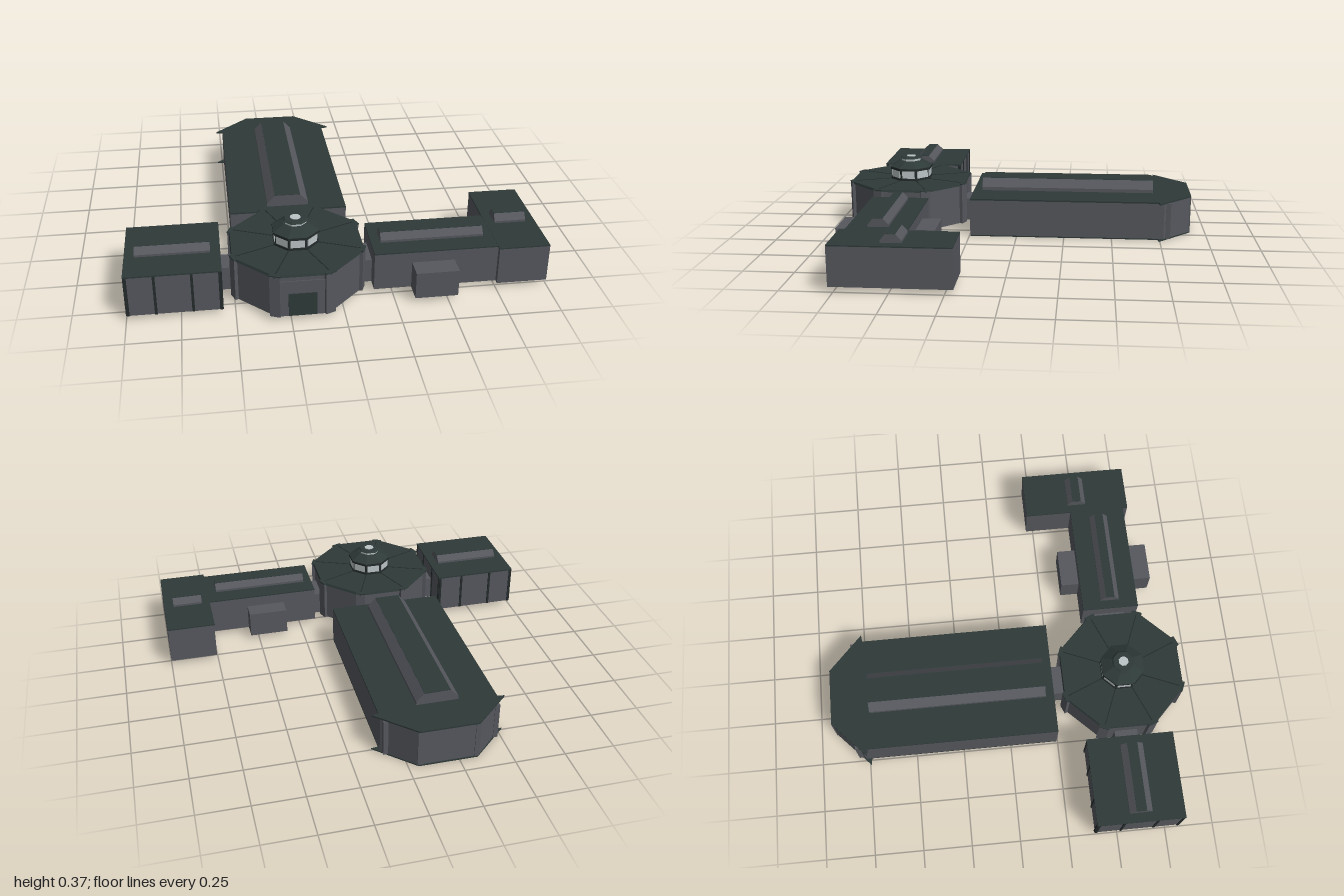
import * as THREE from 'three';

const mat = (name, color) => {
  const m = new THREE.MeshStandardMaterial({ color });
  m.name = name;
  return m;
};

export function createModel() {
  const wall = mat('wall grey', 0x55575d);
  const roof = mat('roof green', 0x2e3a38);
  const trim = mat('dark trim', 0x242a2b);
  const glass = mat('pale glass', 0xbcc4c6);
  const model = new THREE.Group();
  model.name = 'buildingComplex';

  const add = (name, geo, material, parent = model) => {
    const mesh = new THREE.Mesh(geo, material);
    mesh.name = name;
    parent.add(mesh);
    return mesh;
  };
  const group = (name, x = 0, z = 0) => {
    const g = new THREE.Group();
    g.name = name;
    g.position.set(x, 0, z);
    model.add(g);
    return g;
  };
  // Upright prism from an [x, z] outline; caps take the first material
  const prism = (name, outline, y0, y1, mats, parent) => {
    const shape = new THREE.Shape(outline.map(([x, z]) => new THREE.Vector2(x, -z)));
    const geo = new THREE.ExtrudeGeometry(shape, { depth: y1 - y0, bevelEnabled: false });
    geo.rotateX(-Math.PI / 2).translate(0, y0, 0);
    return add(name, geo, mats, parent);
  };
  const block = (name, x0, x1, y0, y1, z0, z1, mats, parent) =>
    prism(name, [[x0, z0], [x1, z0], [x1, z1], [x0, z1]], y0, y1, mats, parent);
  // Trapezoid roof ridge running along z: green flat top, grey slopes and ends
  const ridge = (name, length, width, top, height) => {
    const w = width / 2, t = top / 2;
    const shape = new THREE.Shape([[-w, 0], [w, 0], [w, height * 0.3], [t, height], [-t, height], [-w, height * 0.3]]
      .map(p => new THREE.Vector2(...p)));
    const geo = new THREE.ExtrudeGeometry(shape, { depth: length, bevelEnabled: false });
    geo.translate(0, 0, -length / 2);
    const g = group(name);
    add('ridgeBody', geo, wall, g);
    const plate = add('ridgeTop', new THREE.BoxGeometry(top, 0.003, length), roof, g);
    plate.position.y = height;
    return g;
  };
  // Eight-sided drum with flat faces towards the axes; radii are to the flats
  const drum = (name, rTop, rBottom, y0, y1, mats, parent) => {
    const k = 1 / Math.cos(Math.PI / 8);
    const base = new THREE.CylinderGeometry(rTop * k, rBottom * k, y1 - y0, 8, 1, false, Math.PI / 8);
    const geo = base.toNonIndexed();
    geo.computeVertexNormals();
    geo.translate(0, (y0 + y1) / 2, 0);
    return add(name, geo, mats, parent);
  };

  // Long hall with a chamfered back end and overhanging corner points
  const hall = group('longHall', -0.195, 0);
  prism('hallWalls', [[-0.295, 0.245], [0.295, 0.245], [0.295, -0.77], [0.15, -0.915], [-0.15, -0.915], [-0.295, -0.77]],
    0.005, 0.195, [roof, wall], hall);
  const eaves = [[-0.295, 0.245], [0.295, 0.245], [0.295, -0.74], [0.33, -0.745], [0.145, -0.92],
    [-0.145, -0.92], [-0.33, -0.745], [-0.295, -0.74]];
  prism('hallFloor', eaves, 0, 0.006, roof, hall);
  prism('hallRoof', eaves, 0.195, 0.203, roof, hall);
  for (const s of [-1, 1]) {
    block('hallCornerPost', s * 0.275 - 0.012, s * 0.275 + 0.012, 0.005, 0.195, -0.805, -0.78, wall, hall);
    block('hallBackPost', s * 0.14 - 0.012, s * 0.14 + 0.012, 0.005, 0.195, -0.919, -0.9, wall, hall);
  }
  ridge('hallRidge', 0.92, 0.21, 0.13, 0.06).position.set(-0.195, 0.203, -0.26);

  // Central octagonal hall
  const hub = group('octagonHall', -0.197, 0.605);
  drum('octagonWalls', 0.304, 0.304, 0.025, 0.236, [wall, roof, roof], hub);
  drum('octagonRoof', 0.308, 0.312, 0.234, 0.246, roof, hub);
  for (let i = 0; i < 8; i++) {
    const a = (i + 0.5) * Math.PI / 4;
    const pier = add('cornerPier', new THREE.BoxGeometry(0.05, 0.217, 0.03), wall, hub);
    pier.position.set(Math.sin(a) * 0.32, 0.1335, Math.cos(a) * 0.32);
    pier.rotation.y = a;
    const cap = add('pierCap', new THREE.BoxGeometry(0.054, 0.006, 0.034), roof, hub);
    cap.position.set(Math.sin(a) * 0.32, 0.243, Math.cos(a) * 0.32);
    cap.rotation.y = a;
    // Thin seams between roof panels
    const seam = add('roofSeam', new THREE.BoxGeometry(0.005, 0.003, 0.2), trim, hub);
    seam.position.set(Math.sin(a) * 0.215, 0.246, Math.cos(a) * 0.215);
    seam.rotation.y = a;
  }
  block('entrancePortal', -0.105, 0.105, 0.025, 0.21, 0.29, 0.309, wall, hub);
  block('entranceDoor', -0.066, 0.066, 0.027, 0.145, 0.308, 0.313, roof, hub);

  // Glazed cupola and lantern
  const cupola = group('cupola', -0.197, 0.605);
  drum('cupolaBase', 0.107, 0.107, 0.245, 0.256, trim, cupola);
  drum('cupolaCore', 0.1, 0.1, 0.255, 0.3, trim, cupola);
  for (let i = 0; i < 8; i++) {
    const a = i * Math.PI / 4;
    const pane = add('cupolaWindow', new THREE.BoxGeometry(0.068, 0.04, 0.006), glass, cupola);
    pane.position.set(Math.sin(a) * 0.101, 0.278, Math.cos(a) * 0.101);
    pane.rotation.y = a;
  }
  drum('cupolaEaves', 0.108, 0.108, 0.299, 0.312, trim, cupola);
  drum('cupolaRoof', 0.058, 0.108, 0.312, 0.343, roof, cupola);
  drum('lanternGlass', 0.05, 0.05, 0.343, 0.357, glass, cupola);
  drum('lanternRoof', 0.05, 0.058, 0.356, 0.364, roof, cupola);
  drum('lanternTop', 0.024, 0.024, 0.363, 0.367, glass, cupola);

  // Square wing on the right with pilasters on all sides
  const square = group('squareWing', -0.7775, 0.6025);
  block('squareWalls', -0.218, 0.218, 0.025, 0.229, -0.218, 0.218, [roof, wall], square);
  block('squareRoof', -0.2225, 0.2225, 0.229, 0.236, -0.2225, 0.2225, roof, square);
  for (let side = 0; side < 4; side++) {
    for (const p of [-0.212, -0.085, 0.085, 0.212]) {
      const a = side * Math.PI / 2;
      const pilaster = add('pilaster', new THREE.BoxGeometry(0.012, 0.204, 0.008), trim, square);
      pilaster.position.set(Math.cos(a) * p + Math.sin(a) * 0.2185, 0.127, Math.cos(a) * 0.2185 - Math.sin(a) * p);
      pilaster.rotation.y = a;
    }
  }
  const squareRidge = ridge('squareRidge', 0.35, 0.115, 0.052, 0.04);
  squareRidge.position.set(-0.777, 0.235, 0.603);
  squareRidge.rotation.y = Math.PI / 2;

  // Long wing on the left with side bays and an end block
  const wing = group('longWing');
  block('wingWalls', 0.16, 0.755, 0.025, 0.213, 0.455, 0.75, [roof, wall], wing);
  block('wingRoof', 0.16, 0.755, 0.213, 0.219, 0.455, 0.75, roof, wing);
  block('wingBays', 0.34, 0.545, 0.025, 0.16, 0.36, 0.85, wall, wing);
  block('endWalls', 0.755, 1, 0.025, 0.214, 0.21, 0.775, [roof, wall], wing);
  block('endRoof', 0.752, 1, 0.214, 0.22, 0.21, 0.775, roof, wing);
  for (const [name, length, x, z] of [['wingRidge', 0.5, 0.455, 0.602], ['endRidge', 0.155, 0.873, 0.493]]) {
    const r = ridge(name, length, 0.098, 0.045, 0.043);
    r.position.set(x, 0.218, z);
    r.rotation.y = Math.PI / 2;
  }

  // Low passages joining the wings to the octagon
  block('rightPassage', -0.57, -0.48, 0.025, 0.145, 0.54, 0.66, wall);
  block('leftPassage', 0.08, 0.17, 0.025, 0.145, 0.52, 0.68, wall);
  block('backPassage', -0.27, -0.12, 0.025, 0.145, 0.235, 0.32, wall);
  return model;
}
